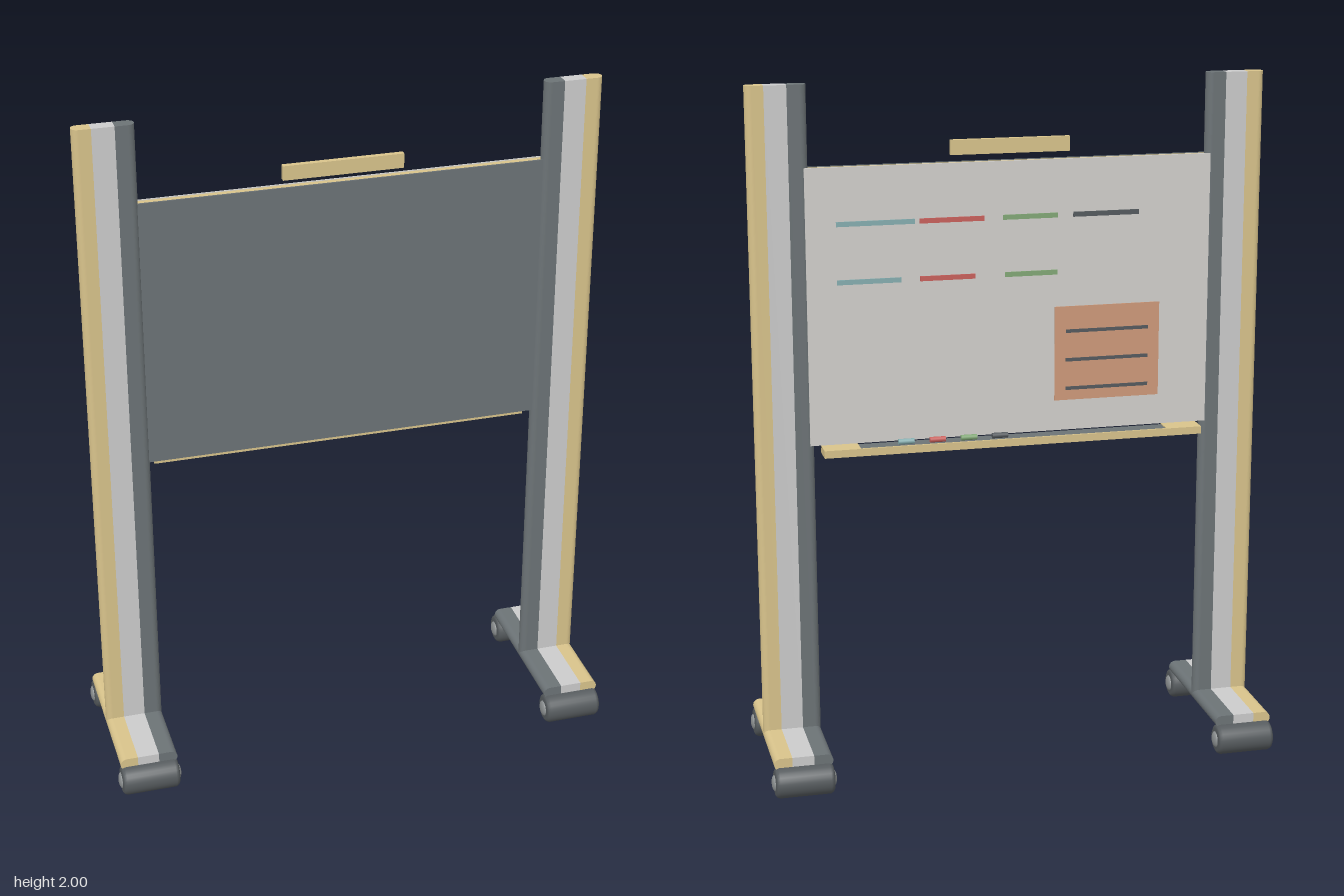
import * as THREE from 'three';

const mat = (color, opts = {}) => new THREE.MeshStandardMaterial({ color, ...opts });
const TAN = mat(0xd8c38b), LIGHT = mat(0xc0c1c2), DARK = mat(0x6c7376), WHITE = mat(0xd2d0cc);
const RUBBER = mat(0x565b5e), HUB = mat(0x8d9192), NOTE = mat(0xcf9a7a);
const RED = mat(0xc9605c), GREEN = mat(0x82a876), BLUE = mat(0x86aeb0), INK = mat(0x555a5e);

function add(parent, name, geometry, material, x = 0, y = 0, z = 0) {
  const mesh = new THREE.Mesh(geometry, material);
  mesh.name = name;
  mesh.position.set(x, y, z);
  parent.add(mesh);
  return mesh;
}

// Box given by its limits on each axis
function block(parent, name, material, [x0, x1], [y0, y1], [z0, z1]) {
  return add(parent, name, new THREE.BoxGeometry(x1 - x0, y1 - y0, z1 - z0), material,
    (x0 + x1) / 2, (y0 + y1) / 2, (z0 + z1) / 2);
}

// Flat bar with rounded sides, in three coloured bands, running along z; +x is the outer side
function bandedBar(name, length) {
  const bar = new THREE.Group();
  bar.name = name;
  const r = 0.0185, half = 0.085;
  const bands = [['outerBand', TAN, 0.033, half], ['middleBand', LIGHT, -0.03, 0.033], ['innerBand', DARK, -half, -0.03]];
  for (const [label, material, a, b] of bands) {
    const s = new THREE.Shape();
    if (b === half) {
      s.moveTo(a, -r);
      s.lineTo(b - r, -r);
      s.absarc(b - r, 0, r, -Math.PI / 2, Math.PI / 2, false);
      s.lineTo(a, r);
    } else if (a === -half) {
      s.moveTo(b, r);
      s.lineTo(a + r, r);
      s.absarc(a + r, 0, r, Math.PI / 2, Math.PI * 1.5, false);
      s.lineTo(b, -r);
    } else {
      s.moveTo(a, -r);
      s.lineTo(b, -r);
      s.lineTo(b, r);
      s.lineTo(a, r);
    }
    s.closePath();
    add(bar, label, new THREE.ExtrudeGeometry(s, { depth: length, bevelEnabled: false, curveSegments: 10 }), material);
  }
  return bar;
}

// Wide roller with rounded shoulders and hub caps, axis along x
function makeWheel() {
  const wheel = new THREE.Group();
  wheel.name = 'wheel';
  const profile = [[0, -0.085], [0.034, -0.085], [0.041, -0.081], [0.045, -0.073],
    [0.045, 0.073], [0.041, 0.081], [0.034, 0.085], [0, 0.085]].map(p => new THREE.Vector2(...p));
  add(wheel, 'tyre', new THREE.LatheGeometry(profile, 28), RUBBER).rotation.z = Math.PI / 2;
  for (const s of [-1, 1]) {
    const cap = add(wheel, 'hubCap', new THREE.SphereGeometry(0.024, 20, 8, 0, Math.PI * 2, 0, Math.PI / 2), HUB, s * 0.084);
    cap.scale.y = 0.4;
    cap.rotation.z = -s * Math.PI / 2;
  }
  return wheel;
}

// Post, foot and two rollers
function makeStand(name, side) {
  const stand = new THREE.Group();
  stand.name = name;
  const post = bandedBar('post', 1.9);
  post.rotation.x = -Math.PI / 2;
  post.position.y = 0.1;
  const foot = bandedBar('foot', 0.46);
  foot.position.set(0, 0.099, -0.23);
  stand.add(post, foot);
  for (const z of [-0.229, 0.229]) {
    const wheel = makeWheel();
    wheel.position.set(0, 0.045, z);
    stand.add(wheel);
  }
  stand.position.set(side * 0.66 - 0.002, 0, 0.002);
  stand.rotation.y = side > 0 ? 0 : Math.PI;
  return stand;
}

export function createModel() {
  const model = new THREE.Group();
  model.name = 'mobileWhiteboard';
  model.add(makeStand('leftStand', 1), makeStand('rightStand', -1));

  // Board: core, dark front panel, white writing surface on the back
  const board = new THREE.Group();
  board.name = 'board';
  model.add(board);
  block(board, 'boardCore', TAN, [-0.585, 0.582], [0.978, 1.768], [-0.014, 0.007]);
  block(board, 'frontPanel', DARK, [-0.588, 0.585], [0.975, 1.77], [0.007, 0.012]);
  block(board, 'writingSurface', WHITE, [-0.59, 0.586], [0.975, 1.77], [-0.0185, -0.014]);
  block(board, 'topPlate', TAN, [-0.175, 0.17], [1.79, 1.832], [-0.008, 0.008]);

  // Strokes on the writing surface
  const strokes = [
    [0.277, 0.5, 1.61, BLUE], [0.077, 0.263, 1.61, RED], [-0.137, 0.023, 1.61, GREEN], [-0.377, -0.183, 1.61, INK],
    [0.317, 0.5, 1.445, BLUE], [0.103, 0.263, 1.445, RED], [-0.137, 0.017, 1.445, GREEN],
  ];
  for (const [x0, x1, y, m] of strokes)
    block(board, 'stroke', m, [x0, x1], [y - 0.007, y + 0.007], [-0.022, -0.018]);

  // Pinned note with three written lines
  block(board, 'note', NOTE, [-0.443, -0.13], [1.065, 1.343], [-0.021, -0.018]);
  for (const y of [1.27, 1.185, 1.1])
    block(board, 'noteLine', INK, [-0.41, -0.163], [y - 0.005, y + 0.005], [-0.023, -0.02]);

  // Pen tray with raised ends and a rim
  const tray = new THREE.Group();
  tray.name = 'penTray';
  model.add(tray);
  block(tray, 'trayBase', TAN, [-0.56, 0.555], [0.953, 0.967], [-0.078, -0.014]);
  block(tray, 'trayLiner', DARK, [-0.455, 0.45], [0.966, 0.972], [-0.073, -0.018]);
  block(tray, 'trayRim', TAN, [-0.56, 0.555], [0.953, 0.975], [-0.079, -0.073]);
  for (const [x0, x1] of [[-0.56, -0.455], [0.45, 0.555]])
    block(tray, 'trayEnd', TAN, [x0, x1], [0.966, 0.975], [-0.074, -0.018]);

  // Marker pens
  [INK, GREEN, RED, BLUE].forEach((m, i) => {
    const pen = add(tray, 'pen', new THREE.CylinderGeometry(0.008, 0.008, 0.046, 14), m, 0.042 + i * 0.0915, 0.983, -0.06);
    pen.rotation.z = Math.PI / 2;
  });
  return model;
}
